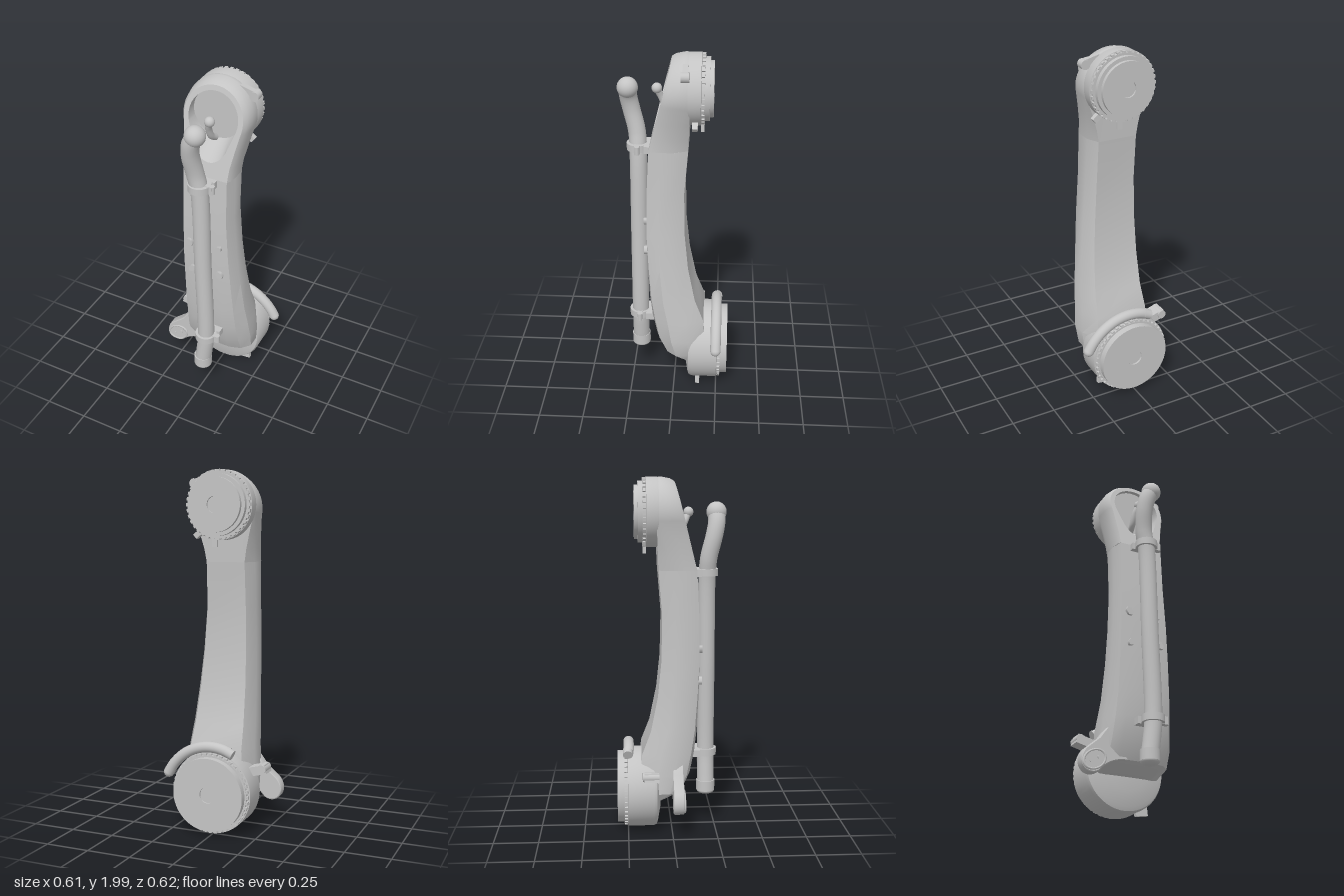
import * as THREE from 'three';
import { toCreasedNormals } from 'three/addons/utils/BufferGeometryUtils.js';

const grey = new THREE.MeshStandardMaterial({ color: 0xc4c4c4, side: THREE.DoubleSide });
grey.name = 'machine grey';

const V = (x, y, z) => new THREE.Vector3(x, y, z);

function add(parent, name, geometry, x = 0, y = 0, z = 0) {
  const mesh = new THREE.Mesh(geometry, grey);
  mesh.name = name;
  mesh.position.set(x, y, z);
  parent.add(mesh);
  return mesh;
}

// Closed skin through rings of equal length, with fan caps at both ends
function loft(rings) {
  const pos = [];
  const tri = (...p) => p.forEach((v) => pos.push(v.x, v.y, v.z));
  const n = rings[0].length;
  const middle = (r) => r.reduce((s, v) => s.add(v), V(0, 0, 0)).divideScalar(n);
  const first = rings[0], last = rings[rings.length - 1];
  const c0 = middle(first), c1 = middle(last);
  for (let j = 0; j < n; j++) {
    const k = (j + 1) % n;
    for (let i = 0; i < rings.length - 1; i++) {
      const [a, b] = [rings[i], rings[i + 1]];
      tri(a[j], a[k], b[k]);
      tri(a[j], b[k], b[j]);
    }
    tri(c0, first[k], first[j]);
    tri(c1, last[j], last[k]);
  }
  const g = new THREE.BufferGeometry();
  g.setAttribute('position', new THREE.Float32BufferAttribute(pos, 3));
  return toCreasedNormals(g, 0.5);
}

// Turned part whose axis runs backwards; profile is [radius, depth]
function turned(profile) {
  const g = new THREE.LatheGeometry(profile.map(([r, d]) => new THREE.Vector2(r, d)), 64);
  return toCreasedNormals(g.rotateX(-Math.PI / 2), 0.5);
}

const tube = (points, r) =>
  new THREE.TubeGeometry(new THREE.CatmullRomCurve3(points.map((p) => V(...p))), 60, r, 20);
const rod = (r, length, sides = 20) => new THREE.CylinderGeometry(r, r, length, sides);
const box = (w, h, d) => new THREE.BoxGeometry(w, h, d);

// Ring of small teeth round a joint
function teeth(parent, count, radius, cx, cy, z) {
  const g = new THREE.Group();
  g.name = 'toothRing';
  for (let i = 0; i < count; i++) {
    const a = (i / count) * Math.PI * 2;
    const t = add(g, 'tooth', box(0.016, 0.018, 0.016), cx + radius * Math.cos(a), cy + radius * Math.sin(a), z);
    t.rotation.z = a;
  }
  parent.add(g);
}

export function createModel() {
  const model = new THREE.Group();
  model.name = 'robotArmLink';

  // Arm: y, left edge, right edge, front z, back z, front face share
  const sections = [
    [0.195, -0.15, 0.19, -0.05, -0.15, 0.8],
    [0.25, -0.185, 0.225, 0.055, -0.17, 0.8],
    [0.35, -0.182, 0.232, 0.1, -0.18, 0.8],
    [0.47, -0.172, 0.222, 0.125, -0.17, 0.8],
    [0.6, -0.162, 0.21, 0.14, -0.12, 0.82],
    [0.8, -0.155, 0.19, 0.15, -0.08, 0.84],
    [1.0, -0.15, 0.17, 0.155, -0.06, 0.86],
    [1.25, -0.145, 0.15, 0.15, -0.055, 0.87],
    [1.5, -0.145, 0.145, 0.135, -0.075, 0.88],
  ];
  add(model, 'arm', loft(sections.map(([y, l, r, f, b, k]) => {
    const shoulder = f - 0.32 * (f - b), waist = b + 0.35 * (f - b);
    const edge = f - 0.25 * (0.88 - k);
    return [V(r * k, y, edge), V(r, y, shoulder), V(r, y, waist), V(r * 0.78, y, b), V(l * 0.78, y, b),
      V(l, y, waist), V(l, y, shoulder), V(l * k, y, edge), V(l * 0.5, y, f), V(r * 0.5, y, f)];
  })));

  // Head: sloping front with a teardrop recess, narrowing into the arm
  const cx = 0.008, cy = 1.81;
  const outline = [];
  for (let i = 0; i <= 48; i++) {
    const a = -0.3 + (i / 48) * (Math.PI + 0.6);
    outline.push([cx + 0.19 * Math.cos(a), cy + 0.19 * Math.sin(a)]);
  }
  outline.push([-0.16, 1.66], [-0.149, 1.57]);
  for (let i = 0; i <= 12; i++) outline.push([-0.145 + (i / 12) * 0.29, 1.5]);
  outline.push([0.15, 1.57], [0.168, 1.66]);
  const slope = (y) => 0.01 + (2 - y) * 0.25;
  const neck = (y) => Math.min(1, Math.max(0, (1.75 - y) / 0.25));
  const inset = (k, neckK = k) => outline.map(([x, y]) => {
    const s = k + (neckK - k) * neck(y);
    return [cx * (1 - neck(y)) + (x - cx * (1 - neck(y))) * s, y > cy ? cy + (y - cy) * k : y];
  });
  const hole = (stretch) => outline.map(([x, y]) => {
    const a = Math.atan2(y - cy, x - cx);
    const r = 0.14 + stretch * Math.max(0, -Math.sin(a)) ** 5;
    return [cx + r * Math.cos(a), cy + r * Math.sin(a)];
  });
  const ring = (pts, z) => pts.map(([x, y]) => V(x, y, z(y)));
  add(model, 'head', loft([
    ring(inset(0.97, 0.78), (y) => -0.085 + 0.01 * neck(y)),
    ring(outline, (y) => -0.065 + 0.065 * neck(y)),
    ring(outline, (y) => slope(y) - 0.065),
    ring(inset(0.95), (y) => slope(y) - 0.02),
    ring(inset(0.88), slope),
    ring(hole(0.09), slope),
    ring(hole(0), () => 0),
  ]));

  // Joint housings
  add(model, 'upperJoint', turned([[0, 0.03], [0.18, 0.05], [0.19, 0.08], [0.19, 0.14], [0.18, 0.142],
    [0.18, 0.16], [0.167, 0.16], [0.167, 0.185], [0.147, 0.185], [0.147, 0.205],
    [0.045, 0.205], [0.045, 0.195], [0, 0.195]]), cx, cy, 0);
  teeth(model, 36, 0.18, cx, cy, -0.151);
  add(model, 'lowerJoint', turned([[0, 0.06], [0.12, 0.065], [0.2, 0.08], [0.222, 0.088], [0.23, 0.105],
    [0.23, 0.25], [0.215, 0.252], [0.215, 0.272], [0.205, 0.272], [0.205, 0.31],
    [0.045, 0.31], [0.045, 0.3], [0, 0.3]]), 0.01, 0.24, 0);
  teeth(model, 44, 0.217, 0.01, 0.24, -0.262);

  // Cable conduit along the front
  add(model, 'conduit', tube([[0.01, 0.23, 0.2], [0.022, 0.32, 0.2], [0.033, 0.44, 0.2], [0.018, 0.95, 0.2],
    [0.002, 1.45, 0.2], [-0.018, 1.56, 0.207], [-0.028, 1.68, 0.235], [-0.016, 1.76, 0.25], [0.008, 1.81, 0.25]], 0.048));
  add(model, 'conduitTopEnd', new THREE.SphereGeometry(0.056, 28, 20), 0.008, 1.81, 0.25);
  add(model, 'conduitBottomEnd', rod(0.053, 0.06, 28), 0.012, 0.24, 0.2);
  add(model, 'conduitBottomCap', new THREE.SphereGeometry(0.053, 28, 16).scale(1, 0.5, 1), 0.012, 0.212, 0.2);

  // Conduit clamps
  for (const [x, y] of [[0.002, 1.48], [0.033, 0.44]]) {
    const clamp = new THREE.Group();
    clamp.name = 'conduitClamp';
    clamp.position.set(x, y, 0.2);
    add(clamp, 'clampBand', rod(0.062, 0.04, 28));
    add(clamp, 'clampFoot', box(0.14, 0.04, 0.045), 0, 0, -0.058);
    add(clamp, 'clampEar', box(0.05, 0.045, 0.03), 0.055, 0, 0);
    add(clamp, 'clampPin', rod(0.014, 0.045, 12), 0.075, 0, 0);
    model.add(clamp);
  }

  // Short cable stub inside the recess
  add(model, 'stub', tube([[-0.005, 1.67, 0.005], [-0.01, 1.7, 0.045], [-0.008, 1.76, 0.075], [0.008, 1.81, 0.095]], 0.018));
  add(model, 'stubEnd', new THREE.SphereGeometry(0.028, 20, 14), 0.008, 1.81, 0.095);

  // Small bolts on the front face
  for (const [x, y, tilt] of [[-0.085, 1.06, 0.6], [0.09, 1.065, -0.6], [-0.072, 0.88, -0.6], [0.1, 0.89, 0.6]]) {
    const bolt = add(model, 'frontBolt', rod(0.021, 0.036, 6).rotateX(Math.PI / 2).scale(0.9, 1.25, 1), x, y, 0.15);
    bolt.rotation.z = tilt;
  }

  // Side bracket with an oval plug
  const wing = new THREE.Shape();
  wing.moveTo(-0.1, 0.47);
  wing.quadraticCurveTo(-0.17, 0.4, -0.2, 0.35);
  wing.lineTo(-0.28, 0.28);
  wing.bezierCurveTo(-0.335, 0.21, -0.275, 0.135, -0.21, 0.175);
  wing.quadraticCurveTo(-0.15, 0.25, -0.05, 0.25);
  add(model, 'sideBracket', toCreasedNormals(new THREE.ExtrudeGeometry(wing, {
    depth: 0.04, bevelThickness: 0.01, bevelSize: 0.006, bevelSegments: 2, curveSegments: 16 }), 0.5), 0, 0, 0.01);
  const plug = new THREE.Group();
  plug.name = 'ovalPlug';
  plug.position.set(-0.235, 0.228, 0.058);
  plug.rotation.z = 0.55;
  add(plug, 'plugFace', rod(0.05, 0.012, 32).rotateX(Math.PI / 2).scale(1.3, 0.95, 1));
  add(plug, 'plugRim', new THREE.TorusGeometry(0.05, 0.006, 8, 32).scale(1.3, 0.95, 1), 0, 0, 0.004);
  for (const x of [-0.025, 0.025]) add(plug, 'plugScrew', rod(0.008, 0.012, 12).rotateX(Math.PI / 2), x, 0, 0.004);
  model.add(plug);

  // Side lug with screw behind the bracket
  const lug = add(model, 'sideLug', box(0.14, 0.05, 0.08), -0.205, 0.36, -0.12);
  lug.rotation.z = -0.25;
  add(model, 'sideLugScrew', rod(0.025, 0.09, 16).rotateX(Math.PI / 2), -0.252, 0.376, -0.125);

  // Curved guard over the lower joint
  const arc = [];
  for (let i = 0; i <= 10; i++) {
    const a = 2.0 - (i / 10) * 1.67;
    const r = 0.255 + 0.022 * (i / 10) ** 3;
    arc.push([0.01 + r * Math.cos(a), 0.24 + r * Math.sin(a), -0.245]);
  }
  add(model, 'jointGuard', tube(arc, 0.03));
  add(model, 'guardTip', new THREE.SphereGeometry(0.03, 16, 12), ...arc[10]);
  const guardScrew = add(model, 'guardScrew', rod(0.028, 0.045), arc[0][0], arc[0][1], -0.25);
  guardScrew.rotation.z = -1.15;
  const foot = add(model, 'lowerFoot', box(0.07, 0.05, 0.024), 0.13, 0.037, -0.14);
  foot.rotation.z = 0.12;

  // Lugs on the upper joint
  const upperLug = add(model, 'upperLug', box(0.1, 0.045, 0.03), 0.15, 1.94, -0.06);
  upperLug.rotation.z = -0.25;
  add(model, 'upperLugScrew', rod(0.026, 0.045, 16).rotateX(Math.PI / 2), 0.188, 1.93, -0.06);
  add(model, 'upperTab', box(0.03, 0.05, 0.018), 0.03, 1.608, -0.148);
  const sideTab = add(model, 'upperSideTab', box(0.07, 0.03, 0.03), 0.135, 1.66, -0.11);
  sideTab.rotation.z = -0.7;

  return model;
}
